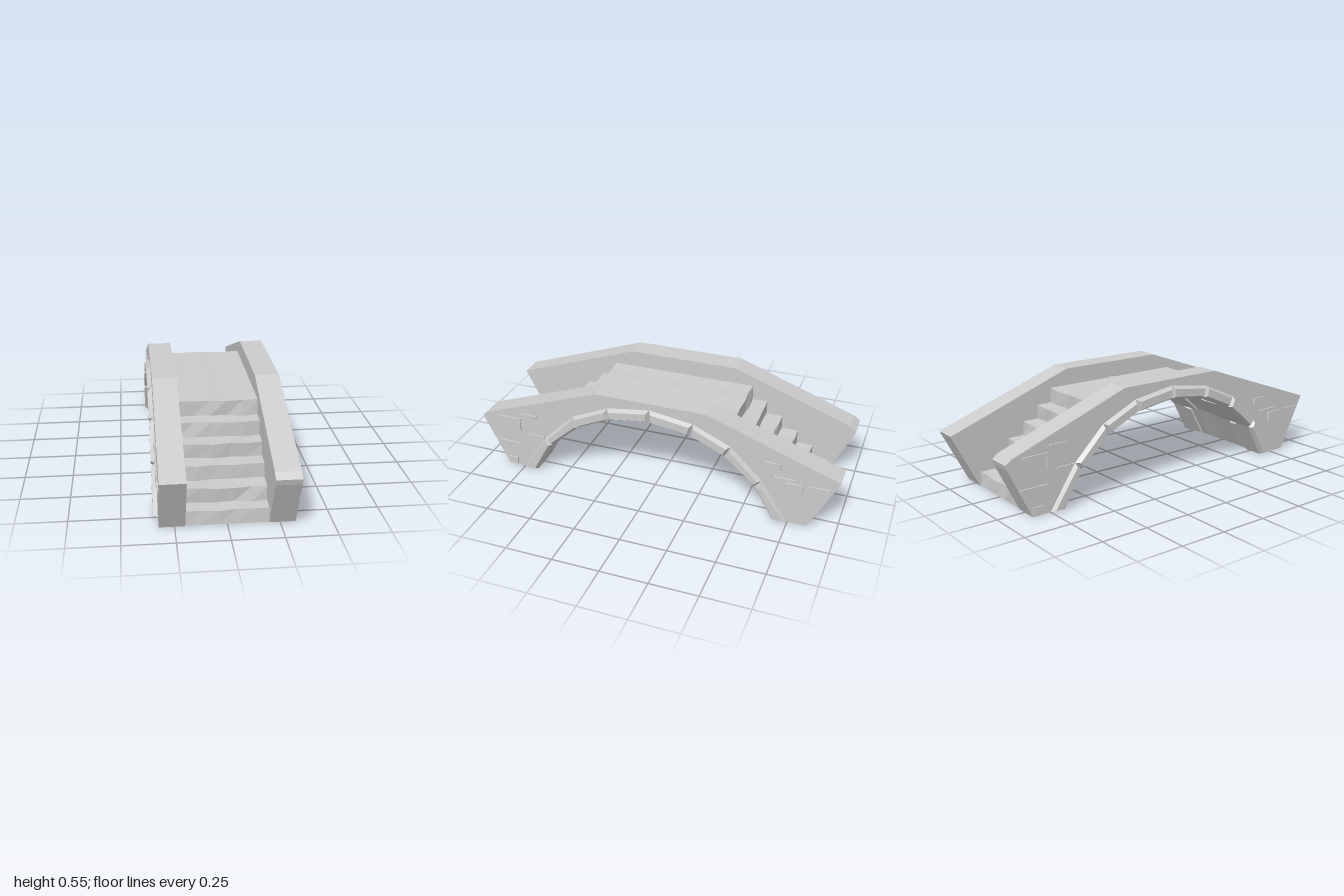
import * as THREE from 'three';

const stone = new THREE.MeshStandardMaterial({ color: 0xcccccc, flatShading: true });

// Arch joints from one foot to the crown, as [z, y]
const innerHalf = [[0.67, 0], [0.57, 0.18], [0.405, 0.325], [0.22, 0.41], [0, 0.44]];
const outerHalf = [[0.75, 0], [0.605, 0.22], [0.435, 0.385], [0.235, 0.475], [0, 0.51]];
const mirrorEnds = (half) => [...half, ...half.slice(0, -1).reverse().map(([z, y]) => [-z, y])];
const inner = mirrorEnds(innerHalf);
const outer = mirrorEnds(outerHalf);
const mix = (a, b, t) => [a[0] + (b[0] - a[0]) * t, a[1] + (b[1] - a[1]) * t];

// Repeatable noise in -1..1, tied to position so shared corners stay joined
function noise(x, y, z) {
  const s = Math.sin(x * 127.1 + y * 311.7 + z * 74.7) * 43758.5453;
  return (s - Math.floor(s)) * 2 - 1;
}

// Extrudes a [z, y] profile across the bridge from x0 to x1
function across(profile, x0, x1, options = {}) {
  const shape = new THREE.Shape(profile.map(([z, y]) => new THREE.Vector2(z, y)));
  const t = options.bevelThickness || 0;
  const geo = new THREE.ExtrudeGeometry(shape, {
    depth: x1 - x0 - 2 * t, bevelEnabled: t > 0, bevelSegments: 1, ...options,
  });
  geo.rotateY(-Math.PI / 2);
  geo.translate(x1 - t, 0, 0);
  return geo;
}

function add(group, name, geo) {
  const mesh = new THREE.Mesh(geo, stone);
  mesh.name = name;
  group.add(mesh);
  return mesh;
}

// Stepped deck with worn edges and a faceted underside
function deckGeometry() {
  const front = [];
  const run = [0.845, 0.76, 0.67, 0.58, 0.49, 0.405];
  run.forEach((z, i) => {
    const top = i === 5 ? 0.455 : 0.075 * (i + 1);
    front.push([z, 0.075 * i], [z, top]);
  });
  const back = front.map(([z, y]) => [-z, y]).reverse();
  const under = inner.map((p, i) => mix(p, outer[i], i === 4 ? 0.07 : 0.22)).reverse();
  const geo = across([...front, ...back, ...under], -0.21, 0.21, { steps: 5 });
  const p = geo.attributes.position;
  for (let i = 0; i < p.count; i++) {
    const x = p.getX(i), y = p.getY(i), z = p.getZ(i);
    const isTread = Math.abs(z) > 0.39 && y > 0.07 && y > 0.5 * (0.85 - Math.abs(z));
    if (!isTread || Math.abs(x) > 0.2) continue;
    const rx = Math.round(x * 100), ry = Math.round(y * 100), rz = Math.round(z * 100);
    p.setY(i, y - 0.006 * Math.abs(noise(rx, ry, rz)));
    p.setZ(i, z + 0.008 * noise(rz, rx, ry));
  }
  geo.computeVertexNormals();
  return geo;
}

// Parapet profile; a worn end has its sharp tip knocked off
function wallProfile(frontWorn, backWorn) {
  const tip = (s, worn) => (worn
    ? [[s * 0.975, 0.255], [s * 0.985, 0.285], [s * 0.95, 0.31]]
    : [[s, 0.295]]);
  const under = inner.map((p, i) => mix(p, outer[i], 0.3)).reverse();
  return [
    [0.85, 0], ...tip(1, frontWorn), [0.3, 0.545], [-0.3, 0.545],
    ...tip(-1, backWorn).reverse(), [-0.85, 0], ...under,
  ];
}

// Shallow raised masonry edges on the outer faces: [z, y, length, height]
const reliefs = [
  [0.82, 0.3, 0.15, 0.012], [0.7, 0.335, 0.1, 0.012], [0.84, 0.145, 0.16, 0.01],
  [0.66, 0.215, 0.1, 0.012], [0.76, 0.255, 0.012, 0.06], [0.82, 0.03, 0.06, 0.035],
  [-0.65, 0.325, 0.1, 0.035], [-0.77, 0.215, 0.1, 0.05], [-0.9, 0.24, 0.12, 0.01],
  [-0.72, 0.26, 0.13, 0.01],
];

export function createModel() {
  const model = new THREE.Group();
  model.name = 'archedBridge';
  add(model, 'steppedDeck', deckGeometry());

  for (const side of [1, -1]) {
    const label = side > 0 ? 'left' : 'right';
    const span = (a, b) => (side > 0 ? [a, b] : [-b, -a]);
    const group = new THREE.Group();
    group.name = label + 'Side';
    model.add(group);

    // Parapet wall
    add(group, label + 'Parapet', across(wallProfile(side > 0, side < 0), ...span(0.2, 0.324)));

    // Arch stones with chamfered edges; alternate ones run on under the deck
    for (let i = 0; i < inner.length - 1; i++) {
      const quad = [inner[i], outer[i], outer[i + 1], inner[i + 1]];
      add(group, 'archStone', across(quad, ...span(0.201, 0.347), {
        bevelThickness: 0.022, bevelSize: 0.014, bevelOffset: -0.014,
      }));
      const k = Math.min(i, 7 - i);
      const reach = k % 2 ? 0.1 : 0.17;
      const a = mix(inner[i], inner[i + 1], 0.05), b = mix(inner[i + 1], inner[i], 0.05);
      const c = mix(outer[i], outer[i + 1], 0.05), d = mix(outer[i + 1], outer[i], 0.05);
      const tongue = [a, mix(a, c, 0.18), mix(b, d, 0.18), b];
      add(group, 'archStoneTail', across(tongue, ...span(reach, 0.24)));
    }

    // Masonry relief, tapered outward
    for (const [z, y, length, height] of reliefs) {
      const geo = new THREE.BoxGeometry(0.016, height, length);
      const p = geo.attributes.position;
      for (let i = 0; i < p.count; i++) {
        if (p.getX(i) * side > 0) p.setZ(i, p.getZ(i) * 0.9);
      }
      const mesh = add(group, 'masonryRelief', geo);
      mesh.position.set(side * 0.324, y, z * side);
    }
  }
  return model;
}
